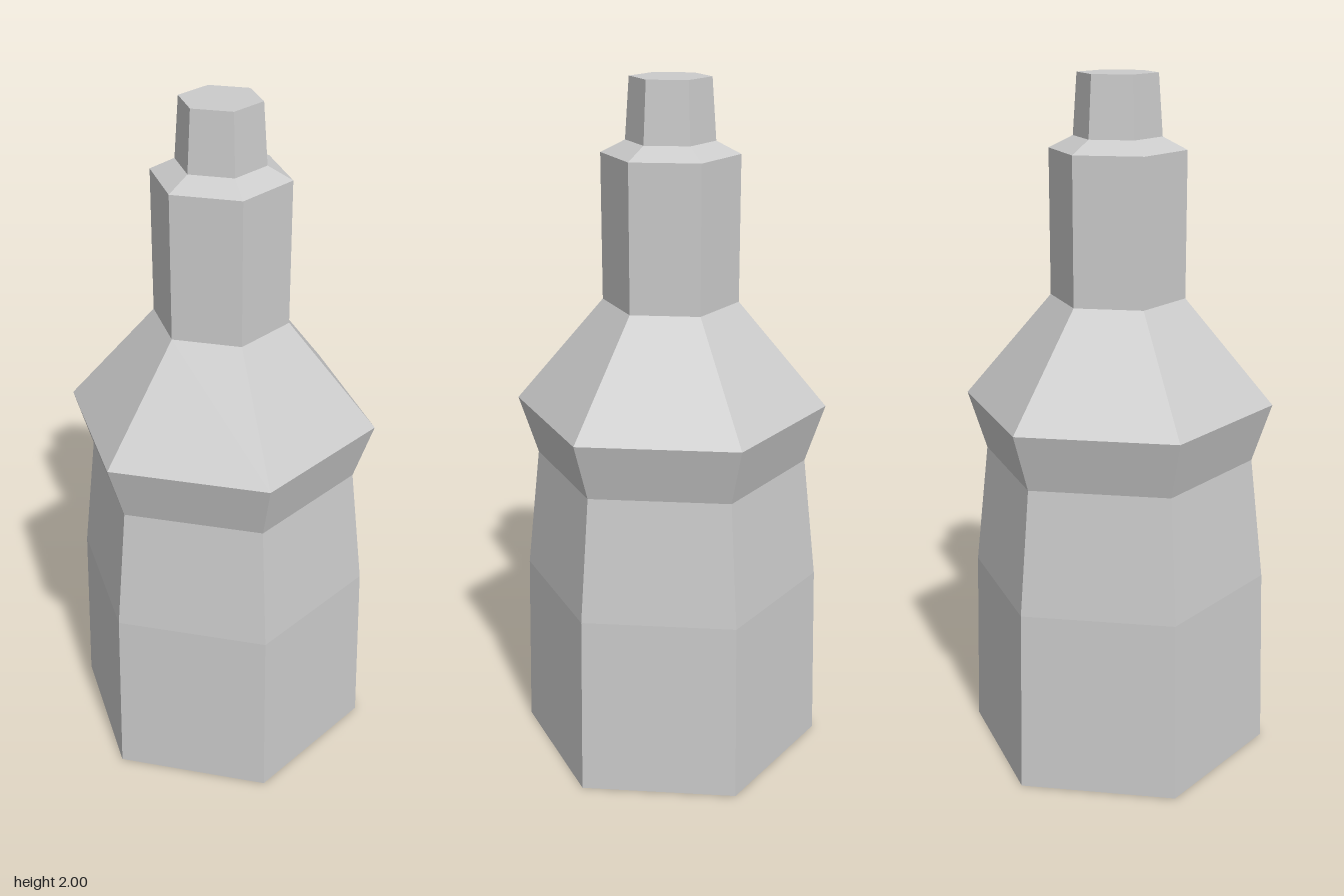
import * as THREE from 'three';

const SIDES = 6;

export function createModel() {
  const group = new THREE.Group();
  group.name = 'bottle';

  const material = new THREE.MeshStandardMaterial({
    color: 0xcccccc,
    flatShading: true,
    side: THREE.DoubleSide,
  });

  // Six-sided shell turned from [corner radius, height] pairs, bottom to top
  function addShell(name, profile) {
    const points = profile.map(([r, y]) => new THREE.Vector2(r, y));
    const mesh = new THREE.Mesh(new THREE.LatheGeometry(points, SIDES), material);
    mesh.name = name;
    group.add(mesh);
  }

  // Tapering body, open underneath, pinched below the shoulder
  addShell('body', [[0.45, 0], [0.436, 0.54], [0.395, 0.905], [0.45, 1.075]]);

  // Sloping shoulder
  addShell('shoulder', [[0.45, 1.075], [0.194, 1.38]]);

  // Straight neck with a bevelled rim
  addShell('neck', [[0.194, 1.38], [0.194, 1.795], [0.125, 1.83]]);

  // Small closed stopper
  addShell('stopper', [[0.125, 1.83], [0.113, 2], [0, 2]]);

  return group;
}
